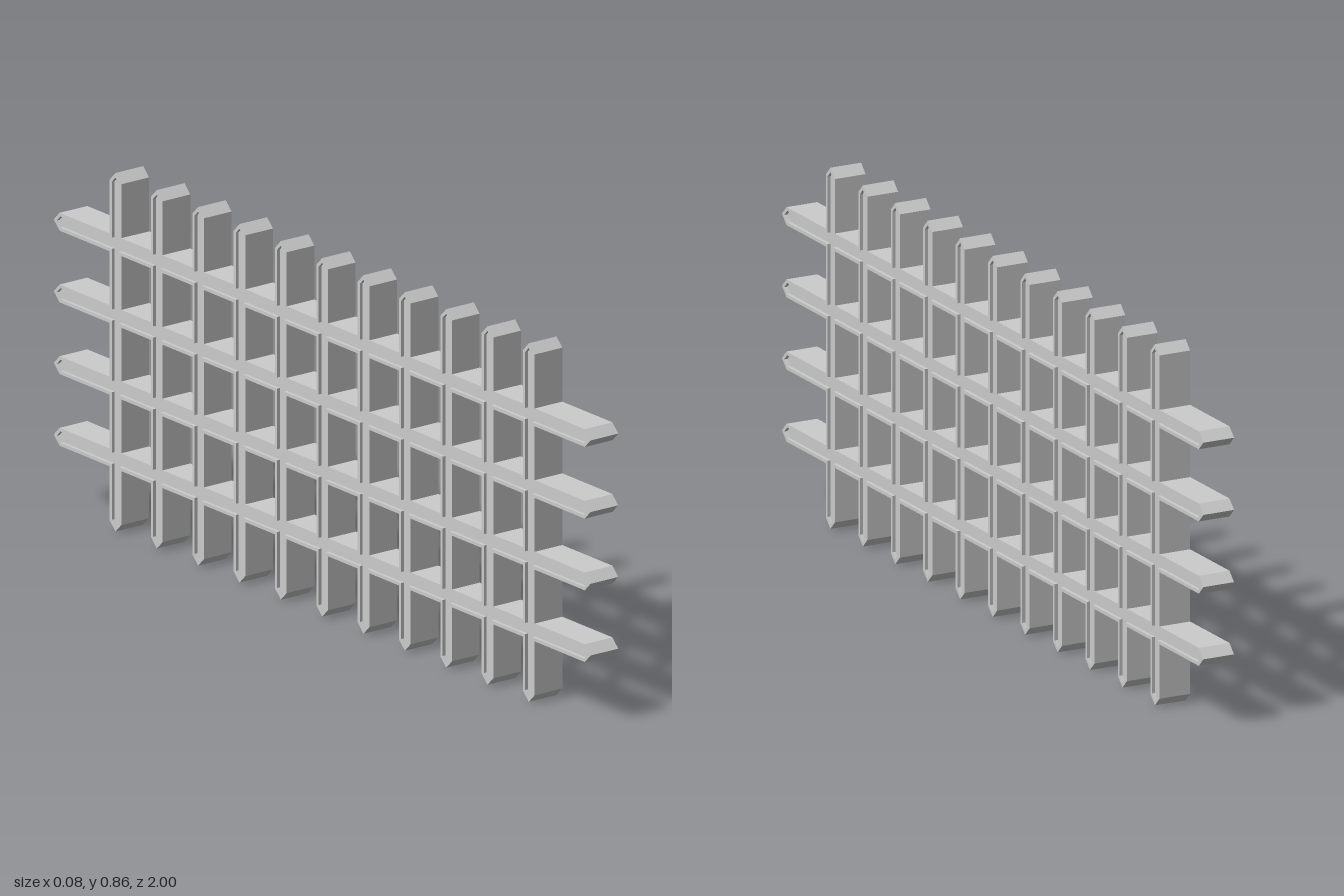
import * as THREE from 'three';
import { mergeGeometries } from 'three/addons/utils/BufferGeometryUtils.js';

const H = 0.0215;      // half width of a bar
const DEPTH = 0.04;    // half depth of the lattice
const RIM = 0.008;     // width of the raised rim
const GROOVE = 0.008;  // depth of the groove between the rims
const material = new THREE.MeshStandardMaterial({ color: 0xcccccc, flatShading: true });

function extrude(points, from, to) {
  const shape = new THREE.Shape(points.map(([x, y]) => new THREE.Vector2(x, y)));
  const geometry = new THREE.ExtrudeGeometry(shape, { depth: to - from, bevelEnabled: false });
  return geometry.translate(0, 0, from);
}

// A bar along y with pointed ends, rimmed on both faces; rims stop at the crossings
function barGeometry(half, crossings, gap) {
  const core = DEPTH - GROOVE;
  const shoulder = half - H;
  const parts = [extrude([
    [-H, -shoulder], [0, -half], [H, -shoulder], [H, shoulder], [0, half], [-H, shoulder],
  ], -core, core)];

  const rims = [];
  // Straight rims between neighbouring crossings
  for (let i = 0; i < crossings.length - 1; i++) {
    const a = crossings[i] + gap, b = crossings[i + 1] - gap;
    for (const x of [-H, H - RIM]) rims.push([[x, a], [x + RIM, a], [x + RIM, b], [x, b]]);
  }
  // Rims running around the pointed ends
  const start = crossings[crossings.length - 1] + gap;
  const inner = H - RIM, innerShoulder = shoulder - RIM * 0.414, innerTip = half - RIM * 1.414;
  const end = [
    [H, start], [H, shoulder], [0, half], [-H, shoulder], [-H, start],
    [-inner, start], [-inner, innerShoulder], [0, innerTip], [inner, innerShoulder], [inner, start],
  ];
  rims.push(end, end.map(([x, y]) => [-x, -y]));

  for (const rim of rims) {
    parts.push(extrude(rim, core, DEPTH), extrude(rim, -DEPTH, -core));
  }
  return mergeGeometries(parts);
}

const spaced = (count, step) => Array.from({ length: count }, (_, i) => (i - (count - 1) / 2) * step);

export function createModel() {
  const model = new THREE.Group();
  model.name = 'lattice';
  const height = 0.864;
  const rows = spaced(4, 0.1727);
  const columns = spaced(11, 0.154);

  // Upright bars
  const upright = barGeometry(height / 2, rows, H);
  columns.forEach((z, i) => {
    const bar = new THREE.Mesh(upright, material);
    bar.name = `uprightBar${i + 1}`;
    bar.rotation.y = Math.PI / 2;
    bar.position.set(0, height / 2, z);
    model.add(bar);
  });

  // Long horizontal bars
  const rail = barGeometry(1, columns, H - RIM);
  rows.forEach((y, i) => {
    const bar = new THREE.Mesh(rail, material);
    bar.name = `horizontalBar${i + 1}`;
    bar.rotation.set(Math.PI / 2, Math.PI / 2, 0);
    bar.position.y = height / 2 + y;
    model.add(bar);
  });
  return model;
}
